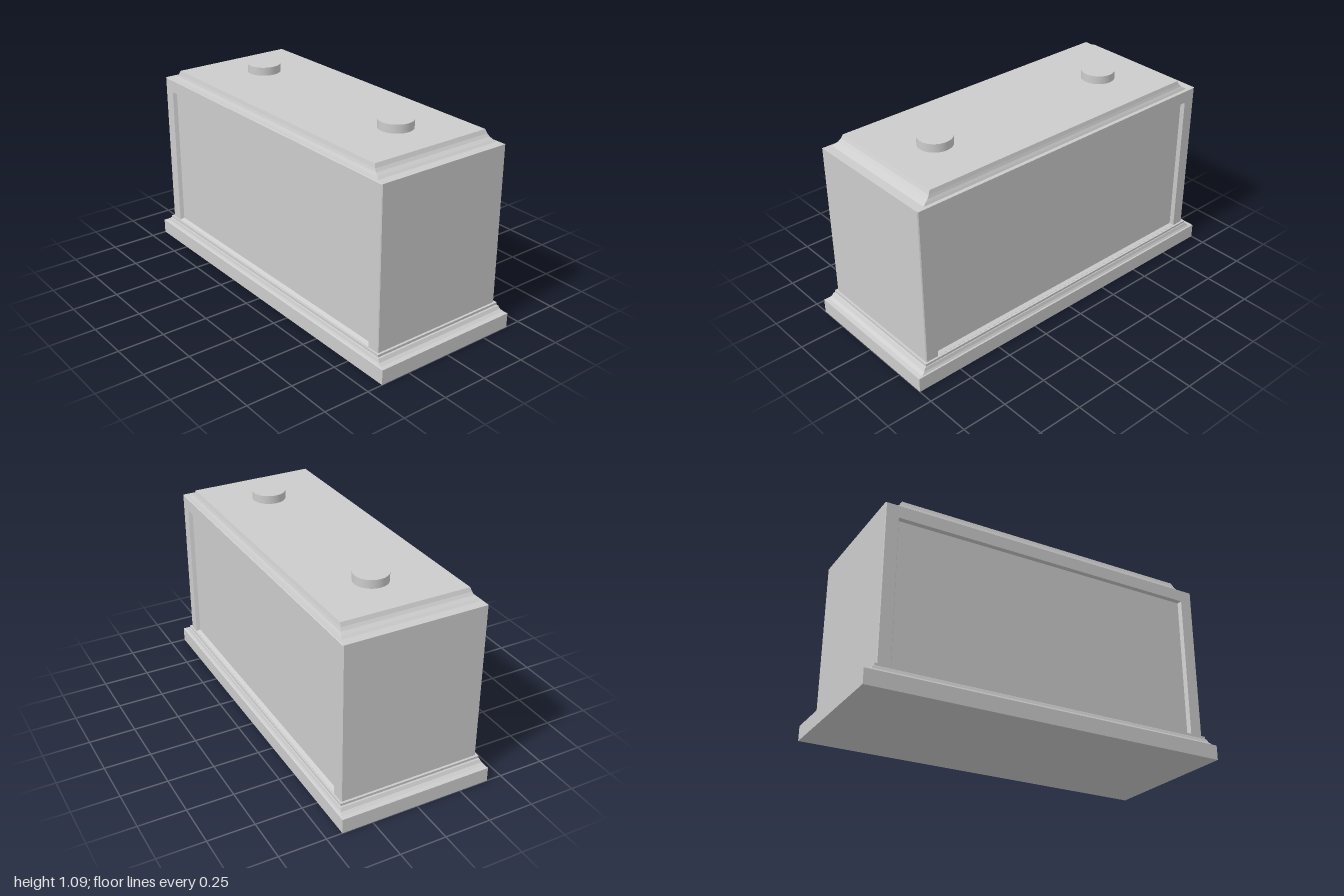
import * as THREE from 'three';

const material = new THREE.MeshStandardMaterial({ color: 0xcccccc });

// Skin a run of four-cornered rings (counter-clockwise seen from the run's end) and cap both ends
function loft(rings) {
  const pos = [];
  const quad = (a, b, c, d) => [a, b, c, a, c, d].forEach((p) => pos.push(...p));
  for (let r = 0; r < rings.length - 1; r++) {
    for (let i = 0; i < 4; i++) {
      const j = (i + 1) % 4;
      quad(rings[r][i], rings[r][j], rings[r + 1][j], rings[r + 1][i]);
    }
  }
  quad(...[...rings[0]].reverse());
  quad(...rings[rings.length - 1]);
  const geo = new THREE.BufferGeometry();
  geo.setAttribute('position', new THREE.Float32BufferAttribute(pos, 3));
  geo.computeVertexNormals();
  return geo;
}

// Horizontal ring: half width, half depth, height
const level = ([x, z, y]) => [[-x, y, z], [x, y, z], [x, y, -z], [-x, y, -z]];
// Upright ring: half width, bottom, top, position along z
const upright = ([x, y0, y1, z]) => [[-x, y0, z], [x, y0, z], [x, y1, z], [-x, y1, z]];

export function createModel() {
  const group = new THREE.Group();
  const add = (name, geometry) => {
    const mesh = new THREE.Mesh(geometry, material);
    mesh.name = name;
    group.add(mesh);
    return mesh;
  };

  // Plinth with a cove moulding
  add('plinth', loft([
    [1, 0.415, 0], [1, 0.415, 0.08], [0.977, 0.408, 0.083], [0.96, 0.402, 0.093],
    [0.95, 0.397, 0.11], [0.942, 0.394, 0.112], [0.942, 0.394, 0.125],
  ].map(level)));

  // Body with a recessed panel, sloped at its edge, on the front and back
  const frontHalf = [
    [0.93, 0.11, 0.985, 0.38], [0.925, 0.115, 0.983, 0.384],
    [0.86, 0.126, 0.916, 0.384], [0.85, 0.136, 0.91, 0.364],
  ];
  const backHalf = frontHalf.map(([x, y0, y1, z]) => [x, y0, y1, -z]).reverse();
  add('body', loft([...backHalf, ...frontHalf].map(upright)));

  // Lid with a cove moulding
  add('lid', loft([
    [0.885, 0.367, 0.983], [0.87, 0.361, 0.995], [0.852, 0.354, 1.006],
    [0.84, 0.349, 1.02], [0.83, 0.344, 1.04],
  ].map(level)));

  // Pair of round caps
  for (const [name, side] of [['leftCap', 1], ['rightCap', -1]]) {
    add(name, new THREE.CylinderGeometry(0.09, 0.09, 0.055, 48))
      .position.set(side * 0.55, 1.0575, -0.025);
  }

  return group;
}
